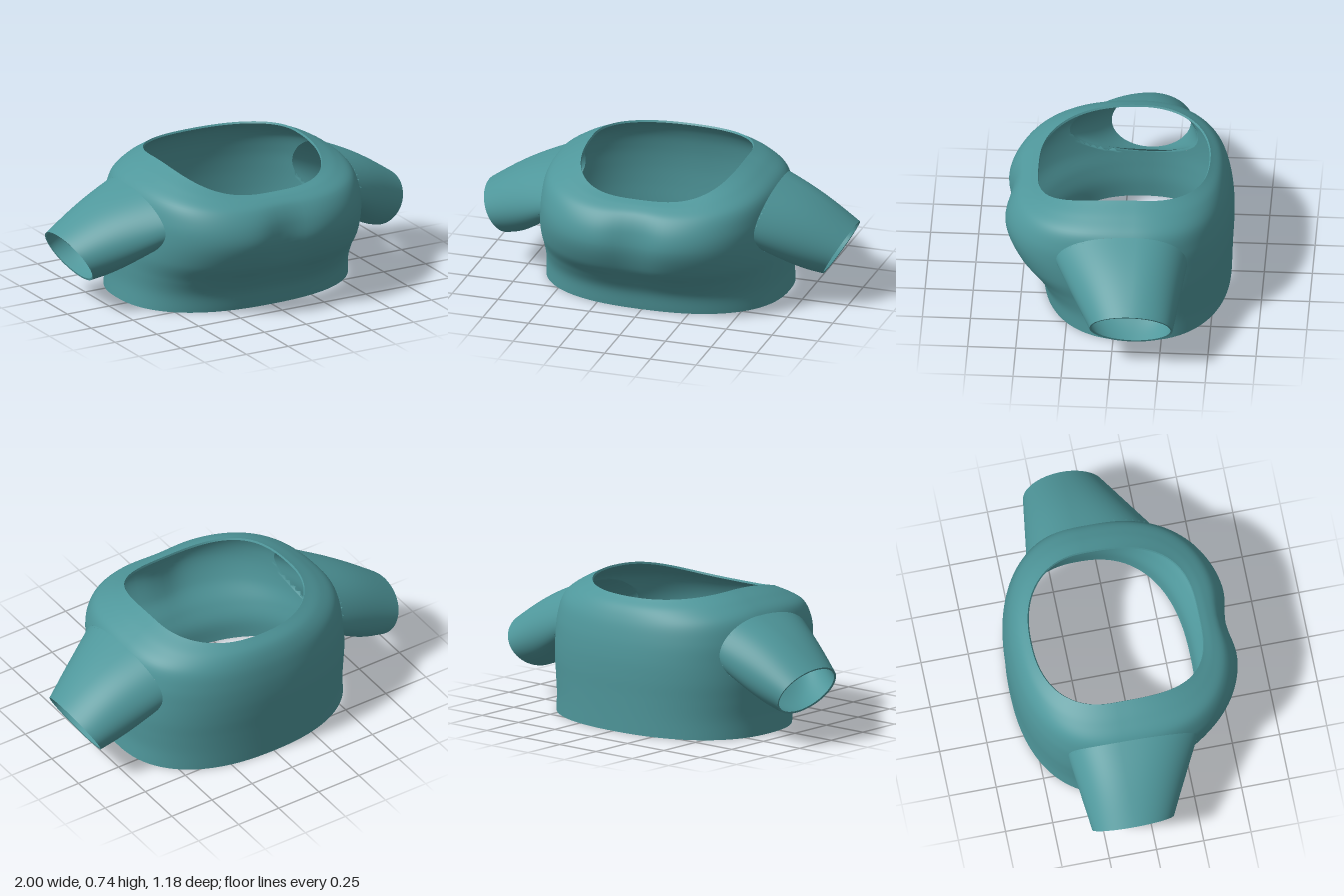
import * as THREE from 'three';

const material = new THREE.MeshStandardMaterial({ color: 0x4f979b, side: THREE.DoubleSide });
const THICKNESS = 0.011;
const MID_Z = -0.1;

// Profiles from hem to neckline: [distance outward, height]
const profile = (pts) => new THREE.CatmullRomCurve3(pts.map(([r, y]) => new THREE.Vector3(r, y, 0)));
const front = profile([[0.39, 0], [0.412, 0.1], [0.465, 0.18], [0.55, 0.28], [0.602, 0.41],
  [0.588, 0.5], [0.535, 0.58], [0.475, 0.615], [0.425, 0.632]]);
const side = profile([[0.65, 0], [0.645, 0.1], [0.65, 0.2], [0.655, 0.3], [0.65, 0.42],
  [0.64, 0.52], [0.605, 0.625], [0.52, 0.688], [0.425, 0.735]]);
const back = profile([[0.58, 0], [0.583, 0.1], [0.587, 0.2], [0.592, 0.3], [0.592, 0.4],
  [0.582, 0.5], [0.56, 0.59], [0.525, 0.655], [0.47, 0.7]]);

// Torso surface: u runs round the body (0 = left side, PI/2 = front), v runs up it
function torsoPoint(u, v) {
  const c = Math.cos(u), s = Math.sin(u), isFront = s > 0;
  const S = side.getPoint(v), E = (isFront ? front : back).getPoint(v);
  const n = isFront ? 2.4 + 0.6 * v * v : 2.3;
  const x = Math.sign(c) * S.x * Math.abs(c) ** (2 / n);
  const depth = isFront ? E.x - MID_Z : E.x + MID_Z;
  let z = MID_Z + Math.sign(s) * depth * Math.abs(s) ** (2 / n);
  // shallow valley down the middle of the chest
  if (isFront) z -= 0.04 * Math.exp(-((x / 0.13) ** 2)) * Math.exp(-(((v - 0.53) / 0.22) ** 2));
  const y = THREE.MathUtils.lerp(S.y, E.y, Math.abs(s) ** 1.4);
  return new THREE.Vector3(x, y, z);
}

// Armhole: an ellipse in the (u, v) space of the torso
const HOLE = { u: -0.025, v: 0.545, ru: 0.53, rv: 0.205 };

// Cloth shell from a grid closed in i and open in j: outer face, inner face, and edge strips
function clothShell(ni, nj, pointAt, skip, rims) {
  const pos = [], idx = [];
  const id = (i, j) => (i % ni) * (nj + 1) + j;
  for (let i = 0; i < ni; i++) for (let j = 0; j <= nj; j++) pos.push(...pointAt(i, j).toArray());
  for (let i = 0; i < ni; i++) for (let j = 0; j < nj; j++) {
    if (skip(i, j)) continue;
    const a = id(i, j), b = id(i, j + 1), c = id(i + 1, j), d = id(i + 1, j + 1);
    idx.push(a, b, c, c, b, d);
  }
  const outer = new THREE.BufferGeometry();
  outer.setAttribute('position', new THREE.Float32BufferAttribute(pos, 3));
  outer.setIndex(idx);
  outer.computeVertexNormals();
  const nor = Array.from(outer.attributes.normal.array);
  const count = pos.length / 3;
  const allPos = pos.concat(pos.map((p, k) => p - nor[k] * THICKNESS));
  const allIdx = idx.slice();
  for (let k = 0; k < idx.length; k += 3) allIdx.push(idx[k] + count, idx[k + 2] + count, idx[k + 1] + count);
  // edge strips have their own vertices so the edge stays sharp
  for (const j of rims) {
    const base = allPos.length / 3;
    for (let i = 0; i < ni; i++) for (const layer of [0, count]) {
      const k = 3 * (id(i, j) + layer);
      allPos.push(allPos[k], allPos[k + 1], allPos[k + 2]);
    }
    for (let i = 0; i < ni; i++) {
      const o = base + 2 * i, p = base + 2 * ((i + 1) % ni);
      if (j === 0) allIdx.push(o, p, o + 1, p, p + 1, o + 1);
      else allIdx.push(o, o + 1, p, p, o + 1, p + 1);
    }
  }
  const geo = new THREE.BufferGeometry();
  geo.setAttribute('position', new THREE.Float32BufferAttribute(allPos, 3));
  geo.setIndex(allIdx);
  geo.computeVertexNormals();
  return geo;
}

function makeTorso() {
  const NI = 144, NJ = 56;
  // position of a grid corner relative to the nearest armhole
  const local = (i, j) => {
    const u = (i / NI) * Math.PI * 2;
    const fold = Math.atan2(Math.sin(u), Math.abs(Math.cos(u)));
    const du = (fold - HOLE.u) / HOLE.ru, dv = (j / NJ - HOLE.v) / HOLE.rv;
    return { u, du, dv, d: Math.hypot(du, dv), left: Math.cos(u) > 0 };
  };
  const pointAt = (i, j) => {
    const { u, du, dv, d, left } = local(i, j);
    if (d >= 1 || d < 1e-6) return torsoPoint(u, j / NJ);
    // corners inside the armhole move out to its edge
    const f = HOLE.u + (HOLE.ru * du) / d;
    return torsoPoint(left ? f : Math.PI - f, HOLE.v + (HOLE.rv * dv) / d);
  };
  const skip = (i, j) => [[0, 0], [1, 0], [0, 1], [1, 1]].every(([a, b]) => local(i + a, j + b).d < 1);
  return clothShell(NI, NJ, pointAt, skip, [0, NJ]);
}

// Sleeve: lofted from the armhole edge to a tilted oval cuff
function makeSleeve(sign) {
  const NI = 72, NJ = 16;
  const pointAt = (i, j) => {
    const a = sign * (i / NI) * Math.PI * 2, s = j / NJ;
    const c = Math.cos(a), h = Math.sin(a);
    const root = torsoPoint(HOLE.u + HOLE.ru * c, HOLE.v + HOLE.rv * h);
    const cuff = new THREE.Vector3(0.928 + 0.072 * h, 0.272 + 0.128 * h, -0.11 + 0.216 * c);
    const p = root.lerp(cuff, s);
    p.y += 0.018 * h * Math.sin(Math.PI * s);
    p.x *= sign;
    return p;
  };
  return clothShell(NI, NJ, pointAt, () => false, [NJ]);
}

export function createModel() {
  const group = new THREE.Group();
  group.name = 'croppedTop';
  const add = (name, geo) => {
    const mesh = new THREE.Mesh(geo, material);
    mesh.name = name;
    group.add(mesh);
  };
  add('torso', makeTorso());
  add('leftSleeve', makeSleeve(1));
  add('rightSleeve', makeSleeve(-1));
  return group;
}
